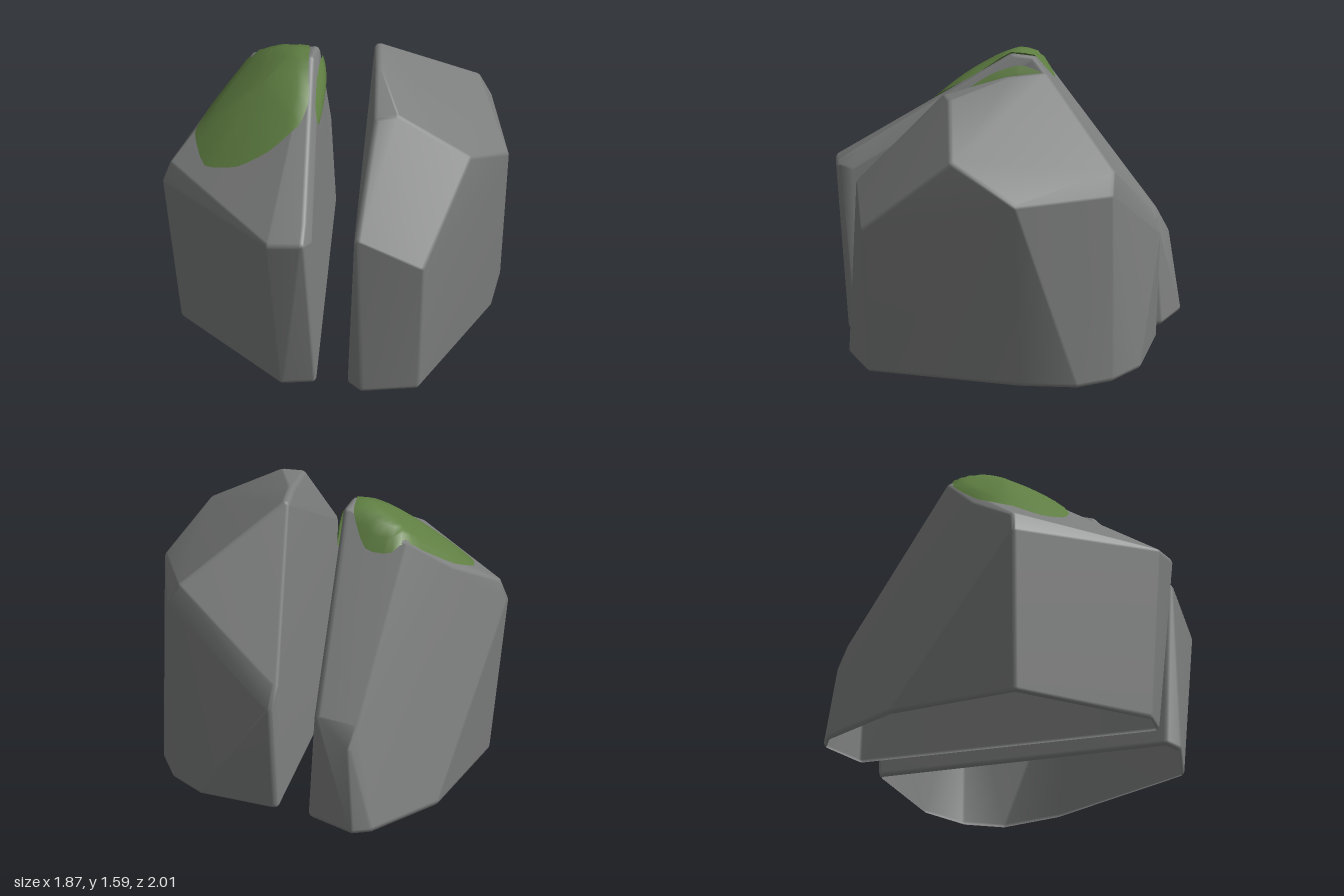
import * as THREE from 'three';
import { ConvexGeometry } from 'three/addons/geometries/ConvexGeometry.js';
import { mergeVertices } from 'three/addons/utils/BufferGeometryUtils.js';

const stone = new THREE.MeshStandardMaterial({ color: 0x7d7f7e, side: THREE.DoubleSide });
stone.name = 'stone grey';
const moss = new THREE.MeshStandardMaterial({ color: 0x5f7e42, side: THREE.DoubleSide });
moss.name = 'moss green';

// Convex boulder shell, open underneath; small spheres at the corners give soft bevels
function boulder(name, corners, radius = 0.03) {
  const points = corners.map((c) => new THREE.Vector3(...c));
  const centre = new THREE.Vector3();
  points.forEach((p) => centre.addScaledVector(p, 1 / points.length));
  const ball = new THREE.IcosahedronGeometry(radius, 1);
  ball.deleteAttribute('uv');
  ball.deleteAttribute('normal');
  const offsets = mergeVertices(ball).getAttribute('position');
  const cloud = [];
  for (const p of points) {
    const core = p.clone().addScaledVector(centre.clone().sub(p).normalize(), radius);
    for (let i = 0; i < offsets.count; i++) {
      cloud.push(new THREE.Vector3().fromBufferAttribute(offsets, i).add(core));
    }
  }
  const hull = new ConvexGeometry(cloud);
  const faceNormal = hull.getAttribute('normal');
  // leave out the faces of the underside
  const kept = [];
  for (let i = 0; i < faceNormal.count; i += 3) {
    if (faceNormal.getY(i) > -0.85) kept.push(i, i + 1, i + 2);
  }
  hull.setIndex(kept);
  hull.deleteAttribute('normal');
  const geometry = mergeVertices(hull, 1e-5);
  geometry.computeVertexNormals();
  const mesh = new THREE.Mesh(geometry, stone);
  mesh.name = name;
  return mesh;
}

// Closed outline filled with rings; place(a, b, r) lays each point on the rock
function patch(name, outline, place, rings = 8) {
  const curve = new THREE.CatmullRomCurve3(
    outline.map(([a, b]) => new THREE.Vector3(a, b, 0)), true, 'catmullrom', 0.3);
  const sides = 36;
  const rim = curve.getPoints(sides).slice(0, sides);
  const mid = new THREE.Vector3();
  rim.forEach((p) => mid.addScaledVector(p, 1 / sides));
  const positions = [];
  const index = [];
  for (let j = 0; j <= rings; j++) {
    const r = j / rings;
    for (let i = 0; i < sides; i++) {
      const p = mid.clone().lerp(rim[i], r);
      positions.push(...place(p.x, p.y, r));
      if (j === rings) continue;
      const a = j * sides + i;
      const b = j * sides + (i + 1) % sides;
      if (j > 0) index.push(a, b, a + sides);
      index.push(b, b + sides, a + sides);
    }
  }
  const raw = new THREE.BufferGeometry();
  raw.setAttribute('position', new THREE.Float32BufferAttribute(positions, 3));
  raw.setIndex(index);
  const geometry = mergeVertices(raw, 1e-5);
  geometry.computeVertexNormals();
  const mesh = new THREE.Mesh(geometry, moss);
  mesh.name = name;
  return mesh;
}

export function createModel() {
  const group = new THREE.Group();
  group.name = 'splitBoulder';

  // Half with the mossy top
  const mossyHalf = boulder('mossyHalf', [
    // foot
    [0.2, 0.04, -0.81], [0.0, 0.03, -1.0], [-0.09, 0.03, -0.99], [-0.48, 0.01, -0.67],
    [-0.82, 0.0, -0.01], [-0.45, 0.03, 0.75], [-0.3, 0.04, 0.79],
    // shoulders
    [-0.93, 0.92, -0.02], [-0.89, 1.03, -0.02], [-0.54, 0.98, 0.79], [-0.38, 1.0, 0.86],
    [-0.35, 1.06, 0.78], [-0.33, 0.98, 0.81],
    // back slope
    [0.17, 0.62, -0.79], [-0.02, 0.6, -0.88], [0.02, 0.48, -0.93],
    // crest
    [-0.61, 1.23, -0.22], [-0.34, 1.45, -0.34], [-0.1, 1.58, -0.06], [-0.05, 1.57, -0.15],
  ]);
  group.add(mossyHalf);

  // Bare half
  group.add(boulder('bareHalf', [
    // foot
    [-0.1, 0.04, 0.86], [-0.06, 0.03, 0.92], [0.23, 0.02, 0.95], [0.8, 0.01, 0.3],
    [0.92, 0.0, 0.01], [0.89, 0.0, -0.21], [0.77, 0.01, -0.42], [0.39, 0.04, -0.68],
    // shoulders
    [-0.07, 0.99, 0.88], [0.25, 0.84, 1.0], [0.61, 1.27, 0.63], [0.89, 1.07, 0.37],
    [0.925, 1.07, -0.2], [0.87, 1.18, -0.23],
    // back edge
    [0.39, 0.76, -0.66], [0.42, 0.63, -0.7],
    // crest
    [0.14, 1.49, 0.46], [0.24, 1.5, 0.47], [0.23, 1.575, 0.12], [0.28, 1.585, -0.08],
  ]));

  // Distance from outside to the mossy half along a ray
  const caster = new THREE.Raycaster();
  const down = new THREE.Vector3(0, -1, 0);
  const inward = new THREE.Vector3(-1, 0, 0);
  const touch = (from, direction) => {
    caster.set(from, direction);
    return caster.intersectObject(mossyHalf)[0]?.point;
  };

  // Moss cushion draped over the top, following the stone below it
  group.add(patch('topMoss', [
    [-0.74, -0.09], [-0.74, 0.13], [-0.59, 0.26], [-0.42, 0.3], [-0.25, 0.27], [-0.17, 0.17],
    [-0.13, 0.0], [-0.08, -0.18], [-0.13, -0.32], [-0.27, -0.37], [-0.44, -0.31], [-0.62, -0.21],
  ], (x, z, r) => {
    const y = touch(new THREE.Vector3(x, 3, z), down)?.y ?? 1.5;
    return [x, y + 0.01 + 0.06 * (1 - r * r), z];
  }));

  // Small moss patch on the split face
  group.add(patch('splitFaceMoss', [
    [0.23, 1.33], [0.18, 1.41], [0.05, 1.49], [-0.08, 1.53], [-0.18, 1.49],
    [-0.23, 1.43], [-0.21, 1.37], [-0.1, 1.32], [0.05, 1.3],
  ], (z, y, r) => {
    const x = touch(new THREE.Vector3(3, y, z), inward)?.x ?? -0.09 - 0.3 * z;
    return [x + 0.012 + 0.025 * (1 - r * r), y, z];
  }, 4));

  return group;
}
